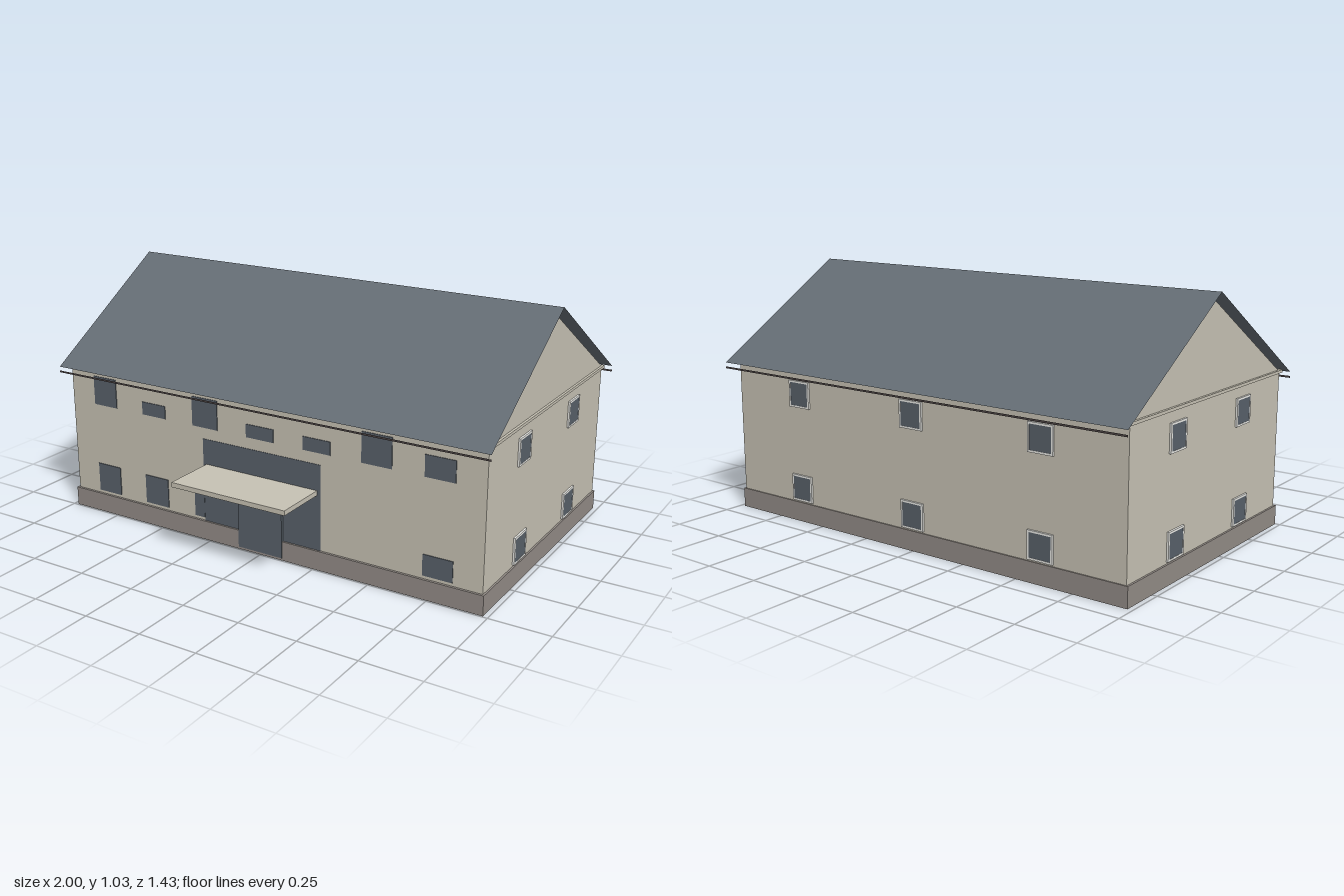
import * as THREE from 'three';

const mat = (name, color, side = THREE.FrontSide) => {
  const m = new THREE.MeshStandardMaterial({ color, side });
  m.name = name;
  return m;
};

export function createModel() {
  const root = new THREE.Group();
  root.name = 'building';
  const wall = mat('wall beige', 0xc6c1b3, THREE.DoubleSide);
  const stone = mat('plinth stone', 0x928b86);
  const slate = mat('roof slate', 0x656d75, THREE.DoubleSide);
  const glass = mat('glass', 0x586069);
  const white = mat('frame white', 0xf6f6f2);
  const trim = mat('eave trim', 0x4a4242, THREE.DoubleSide);

  const add = (name, geo, m, x = 0, y = 0, z = 0, parent = root) => {
    const mesh = new THREE.Mesh(geo, m);
    mesh.name = name;
    mesh.position.set(x, y, z);
    parent.add(mesh);
    return mesh;
  };
  const box = (name, m, w, h, d, x, y, z, parent) =>
    add(name, new THREE.BoxGeometry(w, h, d), m, x, y, z, parent);

  // Hollow rectangular ring, open above and below
  const ring = (name, m, hx, zFront, zBack, y0, y1, t) => {
    const rect = (P, i) => {
      const p = new P();
      p.moveTo(-hx + i, -zFront + i);
      p.lineTo(hx - i, -zFront + i);
      p.lineTo(hx - i, -zBack - i);
      p.lineTo(-hx + i, -zBack - i);
      p.closePath();
      return p;
    };
    const s = rect(THREE.Shape, 0);
    s.holes.push(rect(THREE.Path, t));
    const g = new THREE.ExtrudeGeometry(s, { depth: y1 - y0, bevelEnabled: false });
    g.rotateX(-Math.PI / 2);
    add(name, g, m, 0, y0, 0);
  };
  ring('plinth', stone, 0.98, 0.495, -0.665, 0, 0.082, 0.018);
  ring('walls', wall, 0.972, 0.485, -0.66, 0.08, 0.65, 0.008);
  ring('cornice', wall, 0.982, 0.495, -0.67, 0.644, 0.656, 0.018);

  // Gable triangles
  const tri = new THREE.Shape([
    new THREE.Vector2(-0.475, 0.655), new THREE.Vector2(0.655, 0.655), new THREE.Vector2(0.088, 1.0),
  ]);
  for (const s of [-1, 1]) {
    add('gable', new THREE.ShapeGeometry(tri), wall, s * 0.972).rotation.y = Math.PI / 2;
  }

  // Thin roof slopes and eave strips
  for (const [name, zEave] of [['frontRoof', 0.53], ['backRoof', -0.715]]) {
    const run = zEave + 0.09, rise = 0.39;
    const slope = new THREE.PlaneGeometry(2, Math.hypot(run, rise));
    slope.rotateX(-Math.PI / 2);
    slope.rotateX(Math.atan2(rise, Math.abs(run)) * Math.sign(run));
    add(name, slope, slate, 0, 1.033 - rise / 2, -0.09 + run / 2);
    add('eaveStrip', new THREE.PlaneGeometry(2, 0.008), trim, 0, 0.622, zEave);
  }

  // Square framed windows on the ends and back
  const framedWindow = (x, y, z, turn) => {
    const g = new THREE.Group();
    g.name = 'window';
    g.position.set(x, y, z);
    g.rotation.y = turn;
    root.add(g);
    box('pane', glass, 0.1, 0.1, 0.022, 0, 0, -0.004, g);
    for (const s of [-1, 1]) {
      box('frameSide', white, 0.008, 0.112, 0.016, s * 0.052, 0, 0, g);
      box('frameRail', white, 0.112, 0.008, 0.016, 0, s * 0.052, 0, g);
    }
  };
  for (const y of [0.145, 0.545]) {
    for (const s of [-1, 1]) {
      for (const z of [0.165, -0.337]) framedWindow(s * 0.972, y, z, s * Math.PI / 2);
    }
    for (const x of [-0.61, 0, 0.61]) framedWindow(x, y, -0.66, Math.PI);
  }

  // Front panes: x range, y range
  const panes = [
    [-0.85, -0.73, 0.49, 0.615], [-0.59, -0.47, 0.49, 0.545], [-0.33, -0.205, 0.49, 0.615],
    [-0.065, 0.065, 0.49, 0.545], [0.2, 0.325, 0.49, 0.545], [0.46, 0.59, 0.49, 0.615],
    [0.725, 0.85, 0.49, 0.577], [-0.85, -0.73, 0.095, 0.22], [-0.59, -0.47, 0.095, 0.22],
    [-0.33, -0.28, 0.095, 0.21], [0.725, 0.85, 0.095, 0.182],
  ];
  for (const [x0, x1, y0, y1] of panes) {
    box('frontPane', glass, x1 - x0, y1 - y0, 0.004, (x0 + x1) / 2, (y0 + y1) / 2, 0.486);
  }
  // Inner faces of the front windows
  for (let i = -3; i <= 3; i++) {
    for (const y of [0.157, 0.552]) box('innerPane', glass, 0.125, 0.125, 0.004, i * 0.263, y, 0.476);
  }

  // Entrance: dark panel, door and canopy slab
  box('entrancePanel', glass, 0.56, 0.36, 0.003, 0, 0.262, 0.4855);
  box('door', glass, 0.21, 0.215, 0.024, 0, 0.118, 0.486);
  box('canopy', wall, 0.53, 0.02, 0.23, 0, 0.324, 0.6);
  return root;
}
